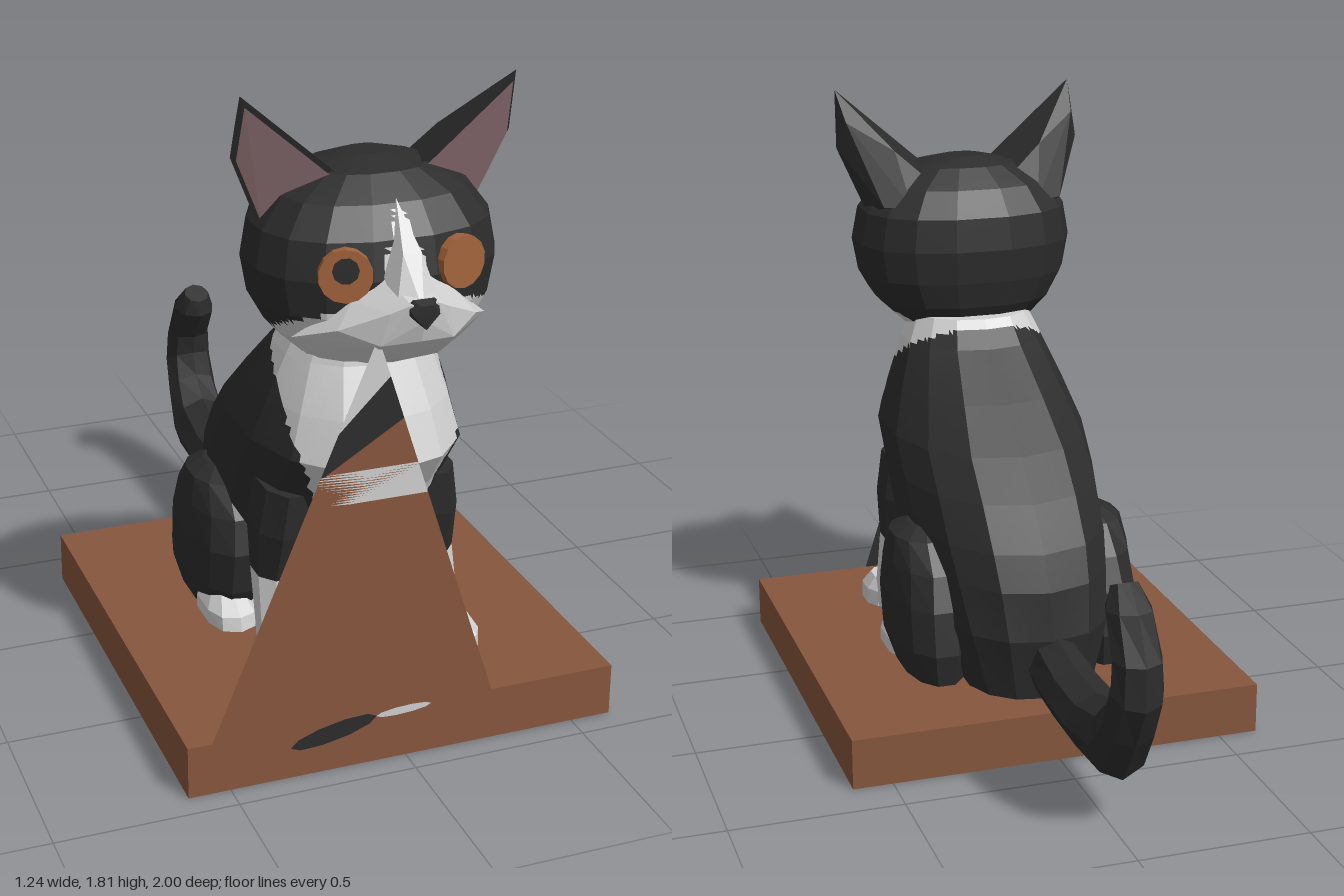
import * as THREE from 'three';
import { ConvexGeometry } from 'three/addons/geometries/ConvexGeometry.js';

const V = (x, y, z) => new THREE.Vector3(x, y, z);
const mat = (name, color, extra = {}) =>
  Object.assign(new THREE.MeshStandardMaterial({ color, flatShading: true, ...extra }), { name });

// Closed skin over cross-sections; pick(point) chooses a material index for each small face
function skin(rings, sub = 1, pick = () => 0) {
  const lists = [[], [], []];
  const tri = (a, b, c) => {
    const m = a.clone().add(b).add(c).divideScalar(3);
    lists[pick(m)].push(...a.toArray(), ...b.toArray(), ...c.toArray());
  };
  const n = rings[0].length;
  for (let i = 0; i < rings.length - 1; i++) {
    for (let j = 0; j < n; j++) {
      const k = (j + 1) % n;
      const at = (u, v) => rings[i][j].clone().lerp(rings[i][k], u)
        .lerp(rings[i + 1][j].clone().lerp(rings[i + 1][k], u), v);
      for (let p = 0; p < sub; p++) for (let q = 0; q < sub; q++) {
        const a = at(p / sub, q / sub), b = at((p + 1) / sub, q / sub);
        const c = at((p + 1) / sub, (q + 1) / sub), d = at(p / sub, (q + 1) / sub);
        tri(a, d, c);
        tri(a, c, b);
      }
    }
  }
  const mid = r => r.reduce((s, p) => s.add(p), V(0, 0, 0)).divideScalar(n);
  const first = rings[0], last = rings[rings.length - 1];
  for (let j = 0; j < n; j++) {
    const k = (j + 1) % n;
    tri(mid(first), first[j], first[k]);
    tri(mid(last), last[k], last[j]);
  }
  const g = new THREE.BufferGeometry();
  let start = 0;
  lists.forEach((l, i) => { g.addGroup(start, l.length / 3, i); start += l.length / 3; });
  g.setAttribute('position', new THREE.Float32BufferAttribute(lists.flat(), 3));
  g.computeVertexNormals();
  return g;
}

// Horizontal section: height, back z, front z, half width, centre x, squareness
function slice(y, z0, z1, w, cx = 0, e = 2, n = 14) {
  const f = t => Math.sign(t) * Math.pow(Math.abs(t), 2 / e);
  return Array.from({ length: n }, (_, j) => {
    const a = (j + 0.5) / n * Math.PI * 2;
    return V(cx + w * f(Math.cos(a)), y, (z0 + z1) / 2 + (z1 - z0) / 2 * f(Math.sin(a)));
  });
}

export function createModel() {
  const model = new THREE.Group();
  const black = mat('black fur', 0x2c2c2c);
  const white = mat('white fur', 0xd0d0d0, { side: THREE.DoubleSide });
  const brown = mat('brown board', 0x86563d);
  const pink = mat('pink skin', 0x8a6c70, { side: THREE.DoubleSide });
  const amber = mat('amber eye', 0xa0623a);
  const add = (name, geo, material) => {
    const m = new THREE.Mesh(geo, material);
    m.name = name;
    model.add(m);
    return m;
  };

  // Base board
  add('base', new THREE.BoxGeometry(1.235, 0.15, 1.3), brown).position.set(0, 0.075, 0.28);

  // Flat stains on the front and underside of the board
  const patch = (name, x, y, z, rx, ry, rot, m) => {
    const p = add(name, new THREE.CircleGeometry(1, 10), m);
    p.position.set(x, y, z);
    p.scale.set(rx, ry, 1);
    p.rotation.set(...rot);
  };
  patch('frontStainDark', -0.21, 0.115, 0.932, 0.125, 0.027, [0, 0, 0.2], black);
  patch('frontStainLight', -0.01, 0.143, 0.933, 0.08, 0.012, [0, 0, 0.05], white);
  patch('bodyUnderside', 0.01, -0.001, 0.14, 0.18, 0.2, [Math.PI / 2, 0, 0], black);
  patch('hindPawUnderside', 0.27, -0.001, 0.3, 0.07, 0.11, [Math.PI / 2, 0, 0], white);
  patch('frontPawUnderside', 0.17, -0.001, 0.64, 0.05, 0.06, [Math.PI / 2, 0, 0], pink);

  // Upright triangle on the front edge, in bands, each with its own front and rear colours
  const edge = (y, left) => left
    ? V(-0.55 + (y - 0.15) * 0.417, y, 0.93) : V(0.25 - (y - 0.15) * 0.324, y, 0.93);
  const band = (name, l0, r0, l1, r1, m, rear) => {
    const p = [edge(l0, true), edge(r0, false), edge(r1, false), edge(l1, true)];
    const order = rear ? [0, 2, 1, 0, 3, 2] : [0, 1, 2, 0, 2, 3];
    const g = new THREE.BufferGeometry().setFromPoints(order.map(i => p[i]));
    g.computeVertexNormals();
    add(name, g, m);
  };
  band('panelFrontLower', 0.15, 0.15, 0.86, 1.0, brown);
  band('panelFrontMiddle', 0.86, 1.0, 0.98, 1.12, black);
  band('panelFrontTip', 0.98, 1.12, 1.23, 1.23, white);
  band('panelRearLower', 0.15, 0.15, 0.78, 0.78, black, true);
  band('panelRearStripe', 0.78, 0.78, 0.87, 0.87, white, true);
  band('panelRearDark', 0.87, 0.87, 0.92, 0.92, black, true);
  band('panelRearTip', 0.92, 0.92, 1.23, 1.23, brown, true);

  // Body with white bib, white neck ring and pink belly
  const body = [
    [0.15, -0.27, 0.16, 0.2], [0.34, -0.3, 0.36, 0.26], [0.48, -0.275, 0.62, 0.285],
    [0.58, -0.225, 0.7, 0.3], [0.7, -0.125, 0.76, 0.305], [0.81, -0.01, 0.84, 0.305],
    [0.93, 0.13, 0.79, 0.265], [1.06, 0.29, 0.72, 0.215], [1.14, 0.35, 0.7, 0.18],
  ].map(r => slice(...r, 0, 2.2));
  add('body', skin(body, 6, p => {
    if (p.y < 0.38) return p.z > 0.2 && Math.abs(p.x) < 0.2 ? 2 : 0;
    if (p.y > 1.12 - 0.586 * (p.z - 0.33)) return 1;
    const w = 0.235 - Math.max(0, 0.85 - p.y) * 0.36;
    return p.z > 0.55 && Math.abs(p.x) < w && p.y > 0.5 ? 1 : 0;
  }), [black, white, pink]);

  // Head with white jaw and blaze
  const head = [
    [1.07, 0.48, 0.7, 0.12], [1.1, 0.42, 0.78, 0.2], [1.17, 0.38, 0.84, 0.275],
    [1.25, 0.36, 0.86, 0.32], [1.35, 0.35, 0.87, 0.338], [1.45, 0.36, 0.85, 0.32],
    [1.53, 0.4, 0.8, 0.26], [1.585, 0.47, 0.72, 0.16], [1.61, 0.53, 0.63, 0.06],
  ].map(r => slice(...r, 0, 2.4, 16));
  add('head', skin(head, 6, p => {
    const x = Math.abs(p.x);
    const jaw = p.y < 1.36 - (x - 0.06) * 0.62 && p.y < 1.13 + (p.z - 0.53) * 0.45;
    const blaze = p.z > 0.7 && p.y > 1.25 && x < 0.06 * Math.min(1, (1.54 - p.y) / 0.17);
    return jaw || blaze ? 1 : 0;
  }), [black, white]);

  // Muzzle, nose bridge and nose from mirrored corner points
  const both = pts => pts.flatMap(([x, y, z]) => x ? [V(x, y, z), V(-x, y, z)] : [V(x, y, z)]);
  add('muzzle', new ConvexGeometry(both([
    [0.035, 1.325, 0.985], [0, 1.28, 0.99], [0.08, 1.3, 0.96], [0.19, 1.24, 0.88],
    [0.27, 1.19, 0.76], [0, 1.22, 0.97], [0.1, 1.21, 0.945], [0, 1.145, 0.89],
    [0.1, 1.13, 0.85], [0.22, 1.13, 0.74], [0, 1.095, 0.79], [0.055, 1.36, 0.86], [0.14, 1.3, 0.85],
  ])), white);
  add('noseBridge', new ConvexGeometry(both([
    [0, 1.54, 0.79], [0.06, 1.37, 0.85], [0.025, 1.43, 0.9], [0.03, 1.36, 0.92],
    [0.06, 1.3, 0.95], [0, 1.3, 0.98],
  ])), white);
  add('nose', new ConvexGeometry(both([
    [0.042, 1.32, 0.975], [0.03, 1.335, 0.975], [0.035, 1.3, 1.0], [0, 1.26, 0.998],
    [0.015, 1.325, 1.0], [0.04, 1.295, 0.97],
  ])), black);

  for (const s of [-1, 1]) {
    const side = s > 0 ? 'left' : 'right';

    // Eye
    const eye = new THREE.Group();
    eye.name = side + 'Eye';
    const ball = new THREE.Mesh(new THREE.CylinderGeometry(0.07, 0.07, 0.06, 14), amber);
    ball.rotation.x = Math.PI / 2;
    eye.add(ball);
    if (s < 0) {
      const pupil = new THREE.Mesh(new THREE.CircleGeometry(0.035, 10), black);
      pupil.position.set(0, 0.015, 0.033);
      eye.add(pupil);
    }
    eye.position.set(s * 0.153, 1.372, 0.832);
    eye.rotation.set(-0.05, s * 0.29, 0);
    model.add(eye);

    // Ear with pink inner plate
    const tip = V(s * 0.375, 1.81, 0.68), inner = V(s * 0.11, 1.58, 0.67);
    const outer = V(s * 0.3, 1.44, 0.6), bulge = V(s * 0.385, 1.64, 0.63);
    add(side + 'Ear', new ConvexGeometry([tip, inner, outer, bulge,
      V(s * 0.2, 1.48, 0.44), V(s * 0.13, 1.55, 0.5), V(s * 0.28, 1.48, 0.47),
      V(s * 0.36, 1.72, 0.6), V(s * 0.23, 1.64, 0.52)]), black);
    const rim = [tip, inner, outer, bulge];
    const mid = V(s * 0.28, 1.615, 0.645);
    const face = inner.clone().sub(tip).cross(outer.clone().sub(tip)).normalize();
    if (face.z < 0) face.negate();
    const plate = rim.map(p => p.clone().lerp(mid, 0.13).addScaledVector(face, 0.012));
    const earIn = new THREE.BufferGeometry().setFromPoints(
      (s > 0 ? [0, 1, 2, 0, 2, 3] : [0, 2, 1, 0, 3, 2]).map(i => plate[i]));
    earIn.computeVertexNormals();
    add(side + 'EarInside', earIn, pink);

    // Front leg, white below the elbow
    const leg = [
      [0.15, 0.54, 0.68, 0.06, 0.245], [0.25, 0.51, 0.635, 0.058, 0.24], [0.41, 0.44, 0.61, 0.07, 0.225],
      [0.55, 0.4, 0.65, 0.09, 0.21], [0.68, 0.4, 0.66, 0.08, 0.2],
    ].map(([y, a, b, w, x]) => slice(y, a, b, w, s * x, 2.2, 8));
    add(side + 'FrontLeg', skin(leg, 4, p => p.y < 0.42 ? 1 : 0), [black, white]);
    const paw = [[0.15, 0.56, 0.745, 0.08], [0.2, 0.56, 0.74, 0.08], [0.24, 0.57, 0.7, 0.055]]
      .map(r => slice(...r, s * 0.245, 2.6, 10));
    add(side + 'FrontPaw', skin(paw), white);

    // Hind thigh and paw
    const thigh = [
      [0.15, -0.1, 0.3, 0.09, 0.26], [0.25, -0.12, 0.36, 0.12, 0.262], [0.38, -0.1, 0.385, 0.125, 0.26],
      [0.48, -0.06, 0.36, 0.125, 0.25], [0.56, 0.02, 0.29, 0.11, 0.25], [0.59, 0.08, 0.22, 0.06, 0.25],
    ].map(([y, a, b, w, x]) => slice(y, a, b, w, s * x, 2.2, 12));
    add(side + 'Thigh', skin(thigh), black);
    const hind = [[0.15, 0.12, 0.4, 0.075], [0.19, 0.13, 0.39, 0.075], [0.235, 0.15, 0.33, 0.05]]
      .map(r => slice(...r, s * 0.285, 2.5, 10));
    add(side + 'HindPaw', skin(hind), white);
  }

  // Tail: lower z, y, upper z, y and half width of each section
  const tail = [
    [-0.2, 0.155, -0.2, 0.36, 0.075], [-0.45, 0.155, -0.45, 0.32, 0.09], [-0.65, 0.155, -0.63, 0.32, 0.095],
    [-0.84, 0.155, -0.78, 0.36, 0.09], [-0.93, 0.29, -0.85, 0.42, 0.08], [-1, 0.42, -0.87, 0.49, 0.075],
    [-1, 0.545, -0.86, 0.55, 0.07], [-0.94, 0.67, -0.785, 0.65, 0.065], [-0.865, 0.735, -0.79, 0.7, 0.04],
  ].map(([z0, y0, z1, y1, w]) => Array.from({ length: 8 }, (_, j) => {
    const a = j / 8 * Math.PI * 2, t = (1 + Math.sin(a)) / 2;
    return V(-0.015 + w * Math.cos(a), y0 + (y1 - y0) * t, z0 + (z1 - z0) * t);
  }));
  add('tail', skin(tail), black);

  return model;
}
